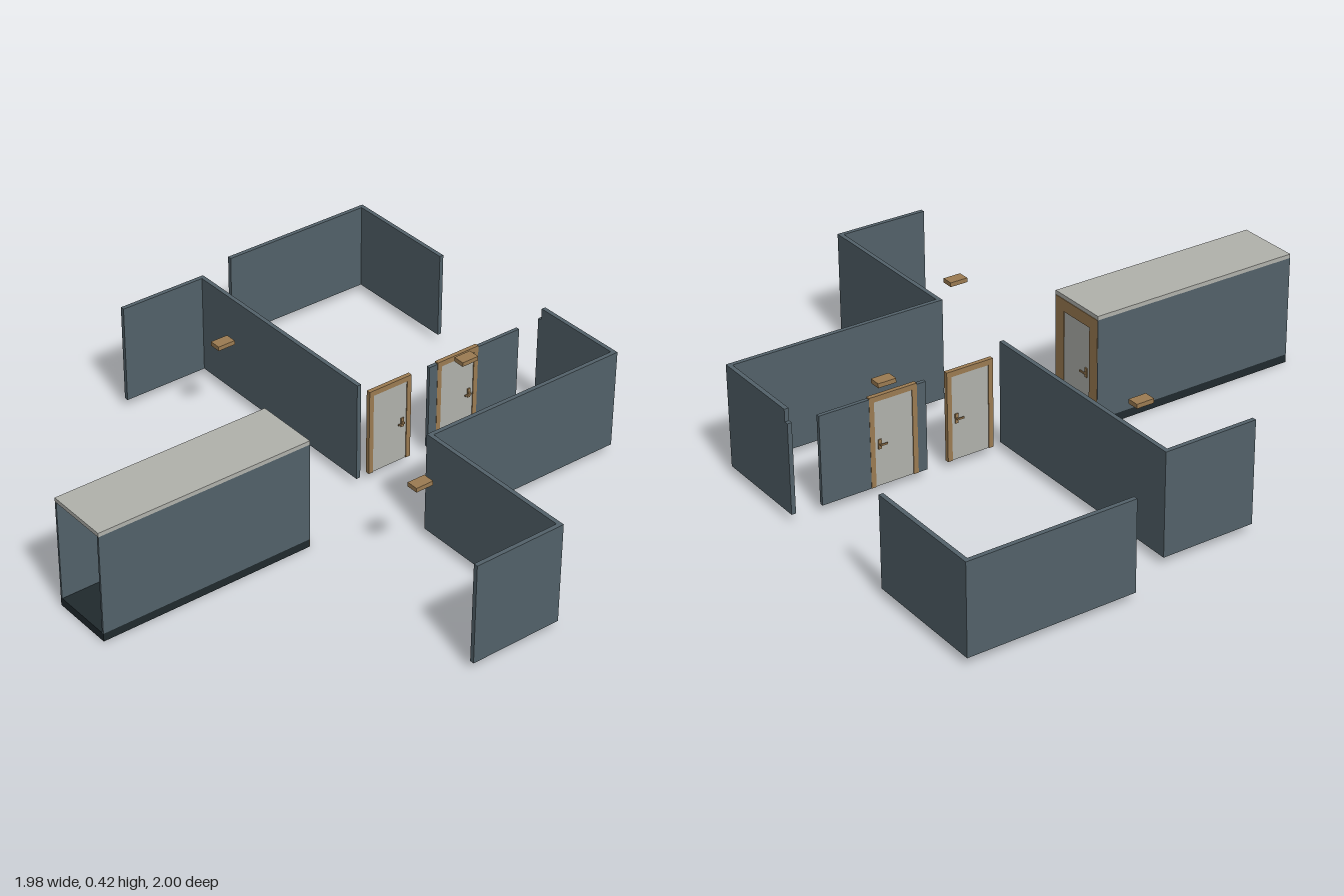
import * as THREE from 'three';

const mat = (name, color) => {
  const m = new THREE.MeshStandardMaterial({ color });
  m.name = name;
  return m;
};

export function createModel() {
  const wallMat = mat('slateWall', 0x53626a);
  const floorMat = mat('darkFloor', 0x202a2e);
  const paleMat = mat('paleGrey', 0xb2b3ad);
  const woodMat = mat('brownTrim', 0x9c7c52);
  const model = new THREE.Group();
  model.name = 'roomWalls';

  // Box given by its lower and upper limits on each axis
  const box = (name, m, x0, x1, y0, y1, z0, z1, parent = model) => {
    const mesh = new THREE.Mesh(new THREE.BoxGeometry(x1 - x0, y1 - y0, z1 - z0), m);
    mesh.position.set((x0 + x1) / 2, (y0 + y1) / 2, (z0 + z1) / 2);
    mesh.name = name;
    parent.add(mesh);
    return mesh;
  };

  const base = 0.03, low = 0.36, high = 0.405;

  // Free-standing walls: [name, x0, x1, z0, z1, top]
  [
    ['backHallEndWall', -0.17, 0.18, -0.89, -0.874, high],
    ['backHallSideWall', 0.164, 0.18, -0.874, 0, high],
    ['rearRoomBackWall', 0.37, 0.985, -1, -0.984, low],
    ['rearRoomSideWall', 0.969, 0.985, -0.984, -0.535, low],
    ['frontRoomWall', 0.164, 0.985, 0.359, 0.375, high],
    ['frontRoomSideWall', 0.969, 0.985, -0.005, 0.359, low],
    ['frontRoomSideWallTop', 0.969, 0.985, 0.01, 0.359, high],
    ['frontHallSideWall', 0.164, 0.18, 0.375, 0.984, high],
    ['frontHallEndWall', -0.17, 0.18, 0.984, 1, high],
    ['doorSideWall', 0.69, 0.875, -0.012, 0.002, low - 0.005],
    ['doorPierWall', 0.475, 0.51, -0.012, 0.002, low - 0.005],
  ].forEach(([name, x0, x1, z0, z1, top]) =>
    box(name, wallMat, x0, x1, name.endsWith('Top') ? low : base, top, z0, z1));

  // Door with jambs, lintel, panel and a lever on each face; local x across, z through
  const makeDoor = (name, width, jamb, bottom, top, lintel) => {
    const g = new THREE.Group();
    g.name = name;
    const h = width / 2, t = 0.008;
    for (const s of [-1, 1]) {
      const c = s * (h - jamb / 2);
      box('doorJamb', woodMat, c - jamb / 2, c + jamb / 2, bottom, top - lintel, -t, t, g);
    }
    box('doorLintel', woodMat, -h, h, top - lintel, top, -t, t, g);
    box('doorPanel', paleMat, jamb - h, h - jamb, base, top - lintel, -0.005, 0.005, g);
    const hx = h - jamb - 0.018;
    for (const s of [-1, 1]) {
      const lever = (n, x0, x1, y0, y1, a, b) =>
        box(n, woodMat, x0, x1, y0, y1, Math.min(s * a, s * b), Math.max(s * a, s * b), g);
      lever('handlePlate', hx - 0.006, hx + 0.006, 0.165, 0.2, 0.005, 0.009);
      lever('handleStem', hx - 0.003, hx + 0.003, 0.18, 0.186, 0.009, 0.018);
      lever('handleLever', hx - 0.024, hx + 0.003, 0.18, 0.186, 0.014, 0.018);
    }
    model.add(g);
    return g;
  };
  makeDoor('sideDoor', 0.18, 0.018, base, low, 0.02).position.set(0.305, 0, -0.005);
  makeDoor('roomDoor', 0.18, 0.018, base, low, 0.02).position.set(0.6, 0, -0.005);

  // Corridor: floor, two sides and roof, open at the far end
  const x0 = -0.99, x1 = -0.17, z0 = -0.065, z1 = 0.175;
  box('corridorFloor', floorMat, x0, x1 - 0.002, 0, base, z0, z1);
  box('corridorBackWall', wallMat, x0, x1, base, high, z0, z0 + 0.008);
  box('corridorFrontWall', wallMat, x0, x1, base, high, z1 - 0.008, z1);
  box('corridorRoof', paleMat, x0, x1, high, 0.42, z0, z1);
  const end = makeDoor('corridorDoor', 0.236, 0.045, 0, high - 0.001, 0.045);
  end.rotation.y = Math.PI / 2;
  end.position.set(x1 - 0.007, 0, (z0 + z1) / 2);

  // Small wooden blocks hung at door-head height
  [[0.005, -0.535], [0.005, 0.52], [0.595, 0.05]].forEach(([x, z]) =>
    box('overheadBlock', woodMat, x - 0.034, x + 0.034, 0.36, 0.376, z - 0.022, z + 0.022));

  return model;
}
